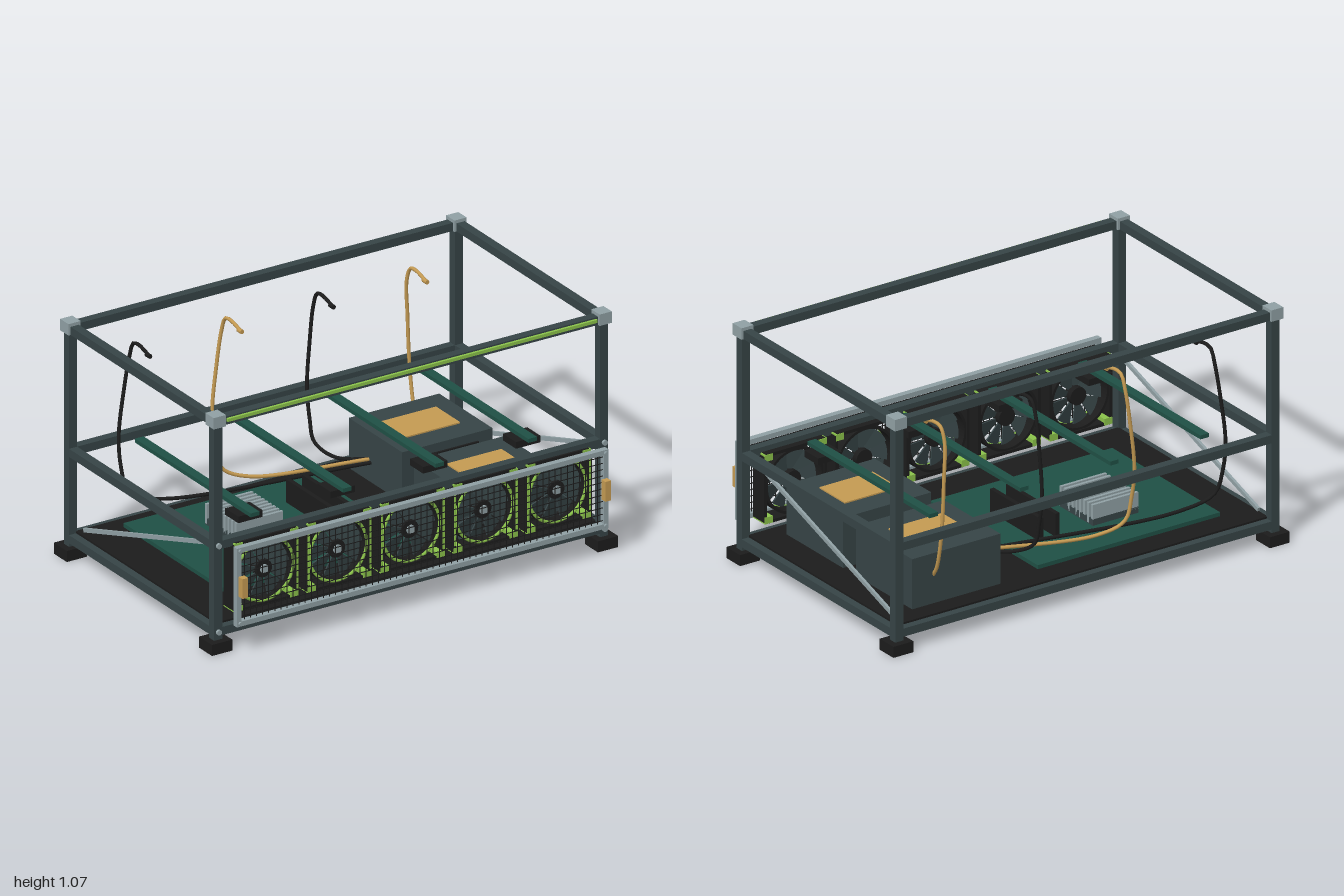
import * as THREE from 'three';

const mat = (name, color) => {
  const m = new THREE.MeshStandardMaterial({ color });
  m.name = name;
  return m;
};

export function createModel() {
  const slate = mat('slate metal', 0x364446);
  const black = mat('black', 0x1c1c1c);
  const silver = mat('silver', 0x90a0a4);
  const green = mat('board green', 0x1f5045);
  const lime = mat('lime', 0x8bc34a);
  const gold = mat('gold', 0xc49a52);

  const root = new THREE.Group();
  const add = (parent, name, geo, m, x = 0, y = 0, z = 0) => {
    const mesh = new THREE.Mesh(geo, m);
    mesh.name = name;
    mesh.position.set(x, y, z);
    parent.add(mesh);
    return mesh;
  };
  const box = (parent, name, m, w, h, d, x, y, z) =>
    add(parent, name, new THREE.BoxGeometry(w, h, d), m, x, y, z);
  const group = (name, parent = root) => {
    const g = new THREE.Group();
    g.name = name;
    parent.add(g);
    return g;
  };

  // Frame: posts, feet, corner cubes, rails
  const X = 0.95, ZF = 0.51, ZB = -0.6, ZC = (ZF + ZB) / 2, T = 0.04;
  const frame = group('frame');
  for (const x of [-X, X]) {
    for (const z of [ZF, ZB]) {
      box(frame, 'post', slate, T, 0.97, T, x, 0.535, z);
      box(frame, 'foot', black, 0.1, 0.05, 0.1, x, 0.025, z);
      box(frame, 'cornerCube', silver, 0.06, 0.052, 0.064, x, 1.045, z);
    }
  }
  for (const y of [0.085, 0.478, 1.038]) {
    for (const z of [ZF, ZB]) box(frame, 'longRail', slate, 2 * X - T, 0.037, T, 0, y, z);
    for (const x of [-X, X]) {
      box(frame, 'sideRail', slate, T, 0.037, ZF - ZB - T, x, y, ZC);
      const bolt = add(frame, 'bolt', new THREE.CylinderGeometry(0.012, 0.012, 0.012, 12), silver, x, y, 0.535);
      bolt.rotation.x = Math.PI / 2;
    }
  }
  box(frame, 'lightStrip', lime, 1.82, 0.014, 0.012, 0, 1.043, 0.536);
  box(frame, 'basePlate', black, 1.87, 0.02, 1.08, 0, 0.102, ZC);

  // Diagonal side braces
  for (const x of [-0.92, 0.92]) {
    const brace = box(frame, 'brace', silver, 0.012, 0.018, Math.hypot(1.01, 0.33), x, 0.295, -0.035);
    brace.rotation.x = -Math.atan2(0.33, 1.01);
  }

  // Main board with heat sink and memory sticks
  const board = group('mainBoard');
  box(board, 'boardPlate', green, 0.92, 0.018, 0.78, -0.3, 0.132, -0.1);
  box(board, 'heatSinkBase', slate, 0.23, 0.03, 0.24, -0.365, 0.155, -0.18);
  for (let i = 0; i < 9; i++)
    box(board, 'heatSinkFin', silver, 0.23, 0.09, 0.014, -0.365, 0.19, -0.293 + i * 0.0282);
  for (const x of [-0.072, 0.008])
    box(board, 'memoryStick', black, 0.02, 0.105, 0.36, x, 0.193, -0.12);

  // Power supplies with grille slats and top labels
  for (const z of [0.205, -0.295]) {
    const psu = group('powerSupply');
    psu.position.set(0.578, 0, z);
    box(psu, 'case', slate, 0.445, 0.228, 0.408, 0, 0.226, 0);
    box(psu, 'label', gold, 0.27, 0.006, 0.185, 0, 0.343, 0);
    for (let i = 0; i < 6; i++)
      box(psu, 'grilleSlat', black, 0.3, 0.012, 0.012, 0, 0.155 + i * 0.028, 0.208);
  }

  // Card support bars
  for (const x of [-0.685, -0.23, 0.225, 0.682]) {
    box(root, 'supportBar', green, 0.042, 0.018, 0.885, x, 0.505, -0.043);
    box(root, 'supportBlock', black, 0.12, 0.03, 0.1, x, 0.481, 0.315);
  }

  // Fan row
  const blade = new THREE.Shape();
  blade.absarc(0, 0, 0.128, 0, 0.68, false);
  blade.absarc(0, 0, 0.035, 0.5, 0, true);
  const bladeGeo = new THREE.ExtrudeGeometry(blade, { depth: 0.006, bevelEnabled: false, curveSegments: 6 });
  const shroud = new THREE.Shape();
  shroud.absarc(0, 0, 0.148, 0, Math.PI * 2, false);
  const hole = new THREE.Path();
  hole.absarc(0, 0, 0.136, 0, Math.PI * 2, true);
  shroud.holes.push(hole);
  const shroudGeo = new THREE.ExtrudeGeometry(shroud, { depth: 0.06, bevelEnabled: false, curveSegments: 32 });
  for (let f = -2; f <= 2; f++) {
    const fan = group('fan');
    fan.position.set(f * 0.36, 0.315, 0.5);
    add(fan, 'shroud', shroudGeo, black, 0, 0, -0.035);
    add(fan, 'lightRing', new THREE.TorusGeometry(0.14, 0.007, 6, 40), lime, 0, 0, 0.03);
    const hub = add(fan, 'hub', new THREE.CylinderGeometry(0.04, 0.04, 0.045, 20), black);
    hub.rotation.x = Math.PI / 2;
    const cap = add(fan, 'hubCap', new THREE.CylinderGeometry(0.02, 0.02, 0.008, 16), silver, 0, 0, 0.026);
    cap.rotation.x = Math.PI / 2;
    for (let i = 0; i < 9; i++) {
      const arm = group('bladeArm', fan);
      arm.rotation.z = (i * Math.PI * 2) / 9;
      add(arm, 'blade', bladeGeo, slate, 0, 0, 0.008).rotation.x = -0.25;
    }
    for (const s of [-1, 1]) {
      box(fan, 'sideBar', black, 0.014, 0.3, 0.08, s * 0.152, 0, 0);
      box(fan, 'edgeBar', black, 0.3, 0.014, 0.08, 0, s * 0.152, 0);
      for (const t of [-1, 1])
        box(fan, 'cornerPad', lime, 0.04, 0.03, 0.086, s * 0.137, t * 0.142, 0);
      box(fan, 'sideLight', lime, 0.008, 0.24, 0.006, s * 0.152, 0, 0.042);
    }
  }

  // Front mesh door
  const door = group('meshDoor');
  door.position.set(0, 0.31, 0.605);
  for (const s of [-1, 1]) {
    box(door, 'doorRail', silver, 1.83, 0.022, 0.028, 0, s * 0.168, 0);
    box(door, 'doorStile', silver, 0.022, 0.314, 0.028, s * 0.904, 0, 0);
    box(door, 'handle', gold, 0.028, 0.09, 0.03, s * 0.893, 0.005, 0.029);
    for (const t of [-1, 1]) {
      const screw = add(door, 'doorScrew', new THREE.CylinderGeometry(0.009, 0.009, 0.01, 10), silver, s * 0.9, t * 0.165, 0.018);
      screw.rotation.x = Math.PI / 2;
    }
  }
  for (let i = -29; i <= 29; i++) box(door, 'meshWire', black, 0.003, 0.32, 0.003, i * 0.03, 0, 0);
  for (let i = -5; i <= 5; i++) box(door, 'meshWire', black, 1.8, 0.003, 0.003, 0, i * 0.029, 0.002);

  // Power cables: hooked at the top, hanging down the back, ending at a power supply
  const cable = (m, xTop, xLow, tail) => {
    const pts = [
      [xTop, 0.914, -0.42], [xTop, 0.932, -0.49], [xTop, 0.925, -0.535],
      [xTop - 0.004, 0.86, -0.558], [(xTop + xLow) / 2, 0.7, -0.568],
      [xLow, 0.5, -0.565], [xLow, 0.36, -0.545], ...tail,
    ].map((p) => new THREE.Vector3(...p));
    const geo = new THREE.TubeGeometry(new THREE.CatmullRomCurve3(pts), 64, 0.008, 8);
    add(root, 'cable', geo, m);
    const end = add(root, 'cableEnd', new THREE.CylinderGeometry(0.01, 0.01, 0.03, 8), m, xTop, 0.912, -0.42);
    end.rotation.x = Math.PI / 2;
  };
  cable(black, -0.682, -0.735, [[-0.71, 0.25, -0.52], [-0.55, 0.2, -0.49], [0.37, 0.2, -0.33]]);
  cable(gold, -0.23, -0.275, [[-0.25, 0.25, -0.53], [-0.14, 0.2, -0.49], [0.37, 0.21, -0.345]]);
  cable(black, 0.222, 0.192, [[0.2, 0.26, -0.52], [0.25, 0.21, -0.44], [0.37, 0.21, -0.34]]);
  cable(gold, 0.682, 0.695, [[0.692, 0.28, -0.52], [0.69, 0.235, -0.49]]);

  return root;
}
